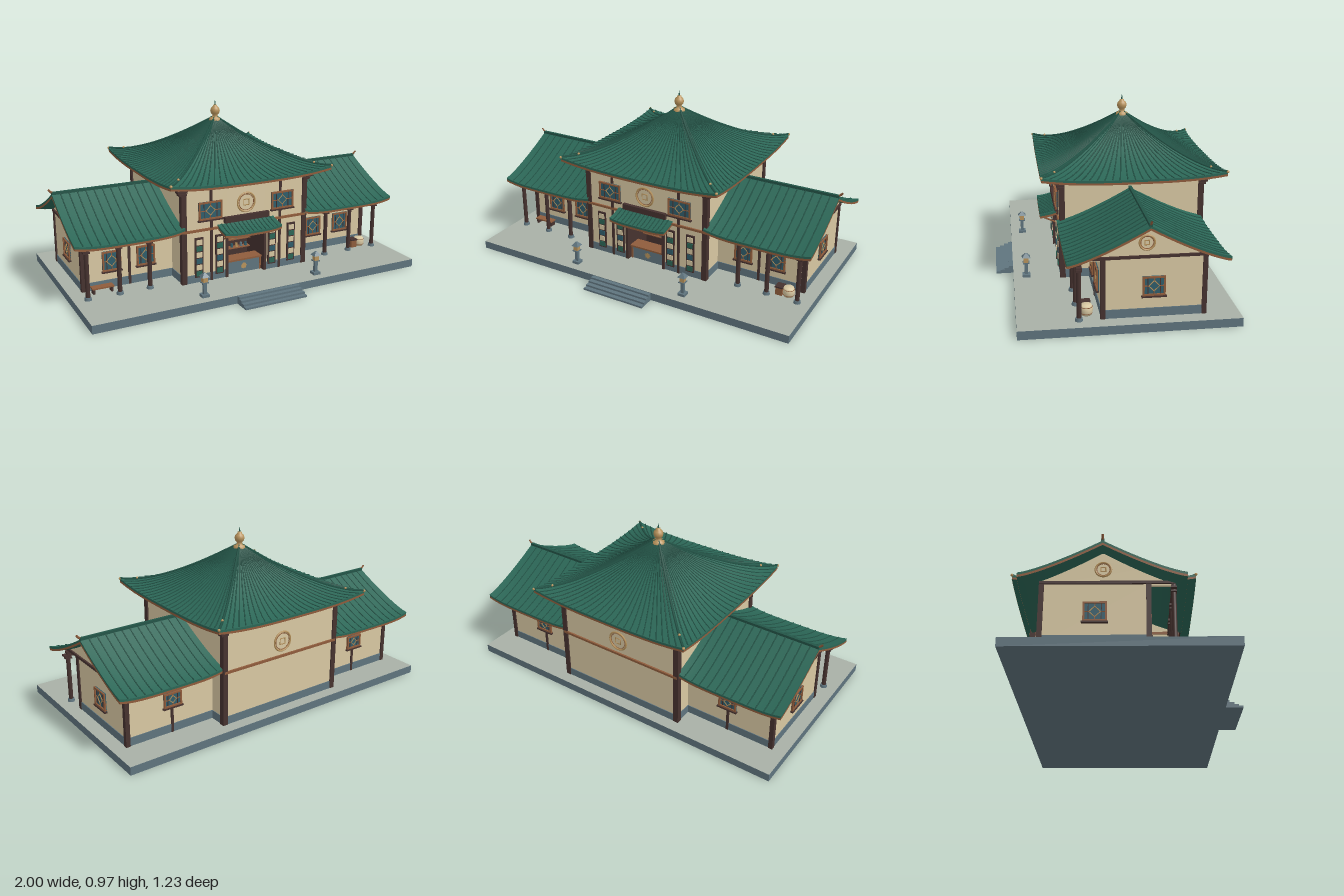
import * as THREE from 'three';

const colors = {
  cream: 0xd8c8a2, slate: 0x5f747e, stone: 0xa8b0a6, roofGreen: 0x2b6656, ridgeGreen: 0x235447,
  darkWood: 0x46322f, wood: 0x8f5c3c, gold: 0xb8935c, glass: 0x2f5d6b,
};
const doubleSided = ['roofGreen', 'wood'];

export function createModel() {
  const model = new THREE.Group();
  const M = {};
  for (const [name, color] of Object.entries(colors)) {
    M[name] = new THREE.MeshStandardMaterial({ color });
    M[name].name = name;
    if (doubleSided.includes(name)) M[name].side = THREE.DoubleSide;
  }

  // Helpers: every part is a named mesh added to a parent group
  const add = (name, geo, mat, x = 0, y = 0, z = 0, parent = model) => {
    const mesh = new THREE.Mesh(geo, mat);
    mesh.name = name;
    mesh.position.set(x, y, z);
    parent.add(mesh);
    return mesh;
  };
  // Box given by its limits, in any order
  const box = (name, mat, x0, x1, y0, y1, z0, z1, parent = model) =>
    add(name, new THREE.BoxGeometry(Math.abs(x1 - x0), Math.abs(y1 - y0), Math.abs(z1 - z0)), mat,
      (x0 + x1) / 2, (y0 + y1) / 2, (z0 + z1) / 2, parent);
  const post = (name, mat, x, z, y0, y1, w) => box(name, mat, x - w / 2, x + w / 2, y0, y1, z - w / 2, z + w / 2);

  // Curved sheet over a, b in 0..1
  const sheet = (f, na, nb) => {
    const pos = [], idx = [];
    for (let j = 0; j <= nb; j++) for (let i = 0; i <= na; i++) {
      pos.push(...f(i / na, j / nb));
      if (i < na && j < nb) {
        const k = j * (na + 1) + i;
        idx.push(k, k + na + 1, k + 1, k + 1, k + na + 1, k + na + 2);
      }
    }
    const g = new THREE.BufferGeometry();
    g.setAttribute('position', new THREE.Float32BufferAttribute(pos, 3));
    g.setIndex(idx);
    g.computeVertexNormals();
    return g;
  };
  const line = (f, n, r, lift = 0) => {
    const pts = [];
    for (let i = 0; i <= n; i++) {
      const p = f(i / n);
      pts.push(new THREE.Vector3(p[0], p[1] + lift, p[2]));
    }
    return new THREE.TubeGeometry(new THREE.CatmullRomCurve3(pts), n, r, 4);
  };
  // Roof slope: top, underside, tiled edge, wooden fascia and ribs running down it
  const slope = (name, f, edges, ribs, parent, b0 = 0) => {
    add(name, sheet(f, 24, 14), M.roofGreen, 0, 0, 0, parent);
    const low = (a, b) => { const p = f(a, b); return [p[0], p[1] - 0.022, p[2]]; };
    add(name + 'Underside', sheet(low, 24, 14), M.roofGreen, 0, 0, 0, parent);
    for (const edge of edges) {
      for (const [part, mat, y0, y1] of [['TileEdge', M.roofGreen, 0, 0.012], ['Fascia', M.wood, 0.012, 0.024]]) {
        add(name + part, sheet((t, q) => {
          const p = f(...edge(t));
          return [p[0], p[1] - y0 - (y1 - y0) * q, p[2]];
        }, 24, 1), mat, 0, 0, 0, parent);
      }
    }
    for (let i = 1; i < ribs; i++) {
      add(name + 'Rib', line((t) => f(i / ribs, b0 + (1 - b0) * t), 10, 0.0035, 0.001), M.ridgeGreen, 0, 0, 0, parent);
    }
  };

  // Details that face +z, placed by position and turn
  const place = (name, x, y, z, turn) => {
    const g = new THREE.Group();
    g.name = name;
    g.position.set(x, y, z);
    g.rotation.y = turn;
    model.add(g);
    return g;
  };
  const latticeWindow = (x, y, z, turn, w, h) => {
    const g = place('window', x, y, z, turn), e = 0.009;
    box('pane', M.glass, -w / 2, w / 2, -h / 2, h / 2, 0, 0.005, g);
    for (const s of [1, -1]) {
      box('frameSide', M.wood, s * w / 2, s * (w / 2 - e), -h / 2, h / 2, 0, 0.012, g);
      box('frameRail', M.wood, -w / 2, w / 2, s * h / 2, s * (h / 2 - e), 0, 0.012, g);
      box('mullion', M.darkWood, s * w * 0.27 - 0.002, s * w * 0.27 + 0.002, -h / 2, h / 2, 0, 0.008, g);
      box('bar', M.wood, s * w * 0.2, s * w / 2, -0.002, 0.002, 0, 0.009, g);
      box('upright', M.wood, -0.002, 0.002, s * h * 0.22, s * h / 2, 0, 0.009, g);
    }
    box('sill', M.darkWood, -w / 2 - 0.006, w / 2 + 0.006, -h / 2 - 0.008, -h / 2, 0, 0.016, g);
    add('diamond', new THREE.TorusGeometry(h * 0.27, 0.0035, 4, 4), M.gold, 0, 0, 0.007, g);
  };
  const medallion = (x, y, z, turn, r) => {
    const g = place('medallion', x, y, z, turn);
    add('ring', new THREE.TorusGeometry(r, 0.005, 6, 32), M.gold, 0, 0, 0.003, g);
    add('innerRing', new THREE.TorusGeometry(r * 0.84, 0.002, 4, 32), M.wood, 0, 0, 0.003, g);
    add('square', new THREE.TorusGeometry(r * 0.42, 0.004, 4, 4), M.gold, 0, 0, 0.003, g).rotation.z = Math.PI / 4;
  };

  // Platform and steps
  box('platform', [M.slate, M.slate, M.stone, M.slate, M.slate, M.slate], -0.98, 0.98, 0, 0.045, -0.575, 0.52);
  for (let i = 0; i < 4; i++) box('step', M.slate, -0.187, 0.187, 0, 0.0105 * (i + 1), 0.52, 0.615 - 0.024 * i);

  // Main hall walls with a recessed doorway
  const F = 0.262, B = -0.505, W = 0.382, CZ = -0.123;
  box('hallWall', M.cream, -W, W, 0.045, 0.585, B, 0.06);
  box('wallOverDoor', M.cream, -0.115, 0.115, 0.3, 0.585, 0.06, F);
  for (const s of [1, -1]) {
    box('frontWall', M.cream, s * W, s * 0.115, 0.045, 0.585, 0.06, F);
    box('frontPlinth', M.slate, s * (W + 0.004), s * 0.125, 0.045, 0.09, 0.06, F + 0.004);
    box('doorPost', M.darkWood, s * 0.128, s * 0.112, 0.045, 0.31, 0.06, F + 0.01);
    box('frontStud', M.darkWood, s * 0.222, s * 0.208, 0.045, 0.585, F, F + 0.008);
    for (const z of [F - 0.008, B + 0.008]) {
      post('hallPost', M.darkWood, s * (W - 0.006), z, 0.045, 0.59, 0.03);
      // Stepped brackets under the eaves
      for (let i = 0; i < 3; i++) {
        const d = z > 0 ? 1 : -1;
        box('eaveBracket', M.darkWood, s * 0.36, s * (0.405 + i * 0.01), 0.55 + i * 0.016, 0.56 + i * 0.016,
          z - d * 0.012, z + d * (0.022 + i * 0.008));
      }
    }
    box('sideTopBeam', M.darkWood, s * W, s * (W + 0.008), 0.572, 0.59, B, F);
    box('sideBand', M.wood, s * W, s * (W + 0.008), 0.337, 0.35, B, F);
    latticeWindow(s * 0.224, 0.452, F + 0.008, 0, 0.14, 0.1);
    // Tall panels beside the door
    for (const x of [0.165, 0.29]) {
      box('panelFrame', M.darkWood, s * x - 0.025, s * x + 0.025, 0.075, 0.303, F, F + 0.008);
      for (let i = 0; i < 6; i++) {
        box('panelCell', [M.roofGreen, M.cream, M.glass, M.cream][i % 4], s * x - 0.017, s * x + 0.017,
          0.083 + i * 0.036, 0.112 + i * 0.036, F, F + 0.012);
      }
    }
  }
  box('rearPlinth', M.slate, -W - 0.004, W + 0.004, 0.045, 0.09, B - 0.004, 0.06);
  for (const [z0, z1] of [[F, F + 0.01], [B - 0.01, B]]) {
    box('topBeam', M.darkWood, -W, W, 0.572, 0.59, z0, z1);
    box('wallBand', M.wood, -W, W, 0.337, 0.35, z0, z1);
  }
  box('doorLintel', M.darkWood, -0.128, 0.128, 0.295, 0.312, F - 0.02, F + 0.01);
  box('signBoard', M.darkWood, -0.138, 0.138, 0.365, 0.398, F, F + 0.02);
  medallion(0, 0.465, F, 0, 0.054);
  medallion(0, 0.427, B, Math.PI, 0.054);

  // Shelves with jars, and the counter
  box('shelfBack', M.darkWood, -0.113, 0.113, 0.045, 0.3, 0.06, 0.07);
  for (let r = 0; r < 3; r++) {
    box('shelf', M.wood, -0.113, 0.113, 0.137 + r * 0.053, 0.142 + r * 0.053, 0.07, 0.11);
    for (let i = 0; i < 7; i++) {
      add('jar', new THREE.CylinderGeometry(0.007, 0.009, 0.022, 8), [M.glass, M.gold, M.slate][(i + r) % 3],
        -0.09 + i * 0.03, 0.153 + r * 0.053, 0.092);
    }
  }
  box('counter', M.slate, -0.108, 0.108, 0.045, 0.118, 0.18, 0.24);
  box('counterTop', M.wood, -0.112, 0.112, 0.118, 0.128, 0.165, 0.248);
  for (const s of [1, -1]) box('counterEdge', M.wood, s * 0.108, s * 0.098, 0.045, 0.118, 0.24, 0.245);
  for (let i = 0; i < 2; i++) {
    add('counterFlower', new THREE.CircleGeometry(0.02, 4), M.gold, 0, 0.083, 0.242 + i * 0.001).rotation.z = i * Math.PI / 4;
  }

  // Entrance canopy
  const canopy = (a, b) => {
    const u = a * 2 - 1;
    return [u * 0.175, 0.362 - 0.055 * b + 0.018 * b * b + 0.012 * u ** 4 * b, 0.255 + 0.105 * b];
  };
  slope('canopyRoof', canopy, [(t) => [t, 1], (t) => [0, t], (t) => [1, t]], 14, model);
  for (const s of [1, -1]) {
    add('canopyBrace', line((t) => [s * 0.14, 0.272 + 0.035 * t, 0.262 + 0.075 * t], 2, 0.005), M.wood);
  }

  // Main pyramid roof
  const eave = (a, b) => {
    const u = a * 2 - 1, t = 0.02 + 0.98 * b;
    return [u * t * 0.488, 0.613 + 0.265 * (1 - t) ** 1.5 + 0.026 * Math.abs(u) ** 3 * t ** 4, t * 0.488];
  };
  const roof = new THREE.Group();
  roof.name = 'mainRoof';
  roof.position.z = CZ;
  model.add(roof);
  for (let k = 0; k < 4; k++) {
    const side = new THREE.Group();
    side.name = 'roofSide';
    side.rotation.y = k * Math.PI / 2;
    roof.add(side);
    slope('roofSlope', eave, [(t) => [t, 1]], 24, side, 0.04);
    add('hipRidge', line((t) => eave(1, t), 14, 0.007, 0.002), M.ridgeGreen, 0, 0, 0, side);
    add('hipTip', new THREE.SphereGeometry(0.008, 8, 6), M.gold, ...eave(1, 1), side);
    const p = eave(1, 0.85);
    add('hipKnob', new THREE.SphereGeometry(0.007, 8, 6), M.gold, p[0], p[1] + 0.008, p[2], side);
  }
  // Finial
  const finial = [[0.035, 0.855], [0.032, 0.868], [0.018, 0.874], [0.014, 0.885], [0.024, 0.896], [0.028, 0.912],
    [0.023, 0.927], [0.012, 0.936], [0.012, 0.942], [0.003, 0.946]].map(([x, y]) => new THREE.Vector2(x, y));
  add('finial', new THREE.LatheGeometry(finial, 16), M.gold, 0, 0, CZ);
  add('finialSpike', new THREE.ConeGeometry(0.006, 0.035, 8), M.ridgeGreen, 0, 0.957, CZ);

  // Side wings
  const RZ = -0.11, X0 = 0.375, X1 = 0.98;
  for (const s of [1, -1]) {
    const roofPoint = (d) => (a, b) => [s * (X0 + (X1 - X0) * a),
      0.352 + 0.19 * (1 - b) ** 1.25 + 0.02 * Math.abs(a * 2 - 1) ** 4 * b, RZ + d * 0.392 * b];
    for (const d of [1, -1]) slope('wingRoof', roofPoint(d), [(t) => [t, 1], (t) => [1, t]], 13, model);
    box('wingRidge', M.ridgeGreen, s * X0, s * X1, 0.535, 0.552, RZ - 0.008, RZ + 0.008);
    add('ridgeTip', line((t) => [s * (0.965 + 0.032 * t), 0.545 + 0.022 * t * t, RZ], 4, 0.006), M.wood);

    // Walls, plinth and gable
    box('wingWall', M.cream, s * W, s * 0.9, 0.045, 0.36, -0.4, 0.108);
    box('wingPlinth', M.slate, s * W, s * 0.904, 0.045, 0.09, -0.404, 0.112);
    const gable = new THREE.Shape([new THREE.Vector2(-0.405, 0.345), new THREE.Vector2(0.225, 0.345)]);
    for (let i = 0; i <= 16; i++) {
      const z = 0.225 - 0.63 * i / 16, b = Math.abs(z - RZ) / 0.392;
      gable.lineTo(z, roofPoint(1)(0.85, b)[1] - 0.012);
    }
    const gableMesh = add('gable', new THREE.ExtrudeGeometry(gable, { depth: 0.015, bevelEnabled: false }),
      M.cream, s > 0 ? 0.9 : -0.885);
    gableMesh.rotation.y = -Math.PI / 2;
    box('gableBeam', M.darkWood, s * 0.885, s * 0.91, 0.352, 0.366, -0.408, 0.23);
    medallion(s * 0.9, 0.43, RZ + 0.002, s * Math.PI / 2, 0.037);
    latticeWindow(s * 0.9, 0.207, -0.145, s * Math.PI / 2, 0.112, 0.1);
    for (const z of [0.104, -0.396]) post('wingCornerPost', M.darkWood, s * 0.895, z, 0.045, 0.36, 0.024);
    for (const z of [0.108, -0.4]) box('wallStud', M.darkWood, s * 0.628, s * 0.642, 0.045, 0.35, z - 0.007, z + 0.007);
    for (const x of [0.54, 0.735]) latticeWindow(s * x, 0.197, 0.108, 0, 0.105, 0.112);
    latticeWindow(s * 0.635, 0.235, -0.407, Math.PI, 0.105, 0.078);

    // Veranda posts, stone feet, brackets and beam
    for (const x of [0.56, 0.73, 0.905]) {
      add('verandaPost', new THREE.CylinderGeometry(0.012, 0.012, 0.3, 10), M.darkWood, s * x, 0.195, 0.22);
      add('postFoot', new THREE.CylinderGeometry(0.017, 0.02, 0.016, 10), M.slate, s * x, 0.053, 0.22);
      for (let i = 0; i < 2; i++) {
        box('postBracket', M.darkWood, s * x - 0.018 - i * 0.009, s * x + 0.018 + i * 0.009,
          0.302 + i * 0.016, 0.312 + i * 0.016, 0.206, 0.234);
      }
    }
    box('verandaBeam', M.darkWood, s * W, s * 0.915, 0.332, 0.348, 0.21, 0.23);

    // Stone lantern
    const L = [s * 0.345, 0.45];
    post('lanternBase', M.slate, ...L, 0.045, 0.06, 0.042);
    post('lanternPillar', M.slate, ...L, 0.06, 0.122, 0.018);
    post('lanternShelf', M.slate, ...L, 0.122, 0.128, 0.036);
    post('lanternLight', M.gold, ...L, 0.128, 0.158, 0.027);
    add('lanternRoof', new THREE.CylinderGeometry(0.006, 0.032, 0.022, 4).rotateY(Math.PI / 4).toNonIndexed(),
      M.slate, L[0], 0.168, L[1]).geometry.computeVertexNormals();
  }

  // Barrel and crate on the left veranda
  const stave = [[0, 0.045], [0.026, 0.045], [0.032, 0.062], [0.032, 0.082], [0.026, 0.098], [0, 0.098]];
  add('barrel', new THREE.LatheGeometry(stave.map(([x, y]) => new THREE.Vector2(x, y)), 14), M.cream, 0.84, 0, 0.177);
  for (const y of [0.056, 0.088]) add('barrelHoop', new THREE.TorusGeometry(0.03, 0.002, 4, 16), M.wood, 0.84, y, 0.177).rotation.x = Math.PI / 2;
  box('crate', M.wood, 0.772, 0.81, 0.045, 0.093, 0.155, 0.2);
  box('crateLid', M.darkWood, 0.769, 0.813, 0.088, 0.096, 0.152, 0.203);

  // Bench on the right veranda
  box('benchSeat', M.wood, -0.865, -0.745, 0.072, 0.08, 0.13, 0.175);
  for (const x of [-0.855, -0.755]) box('benchLeg', M.darkWood, x - 0.006, x + 0.006, 0.045, 0.072, 0.135, 0.17);
  return model;
}
